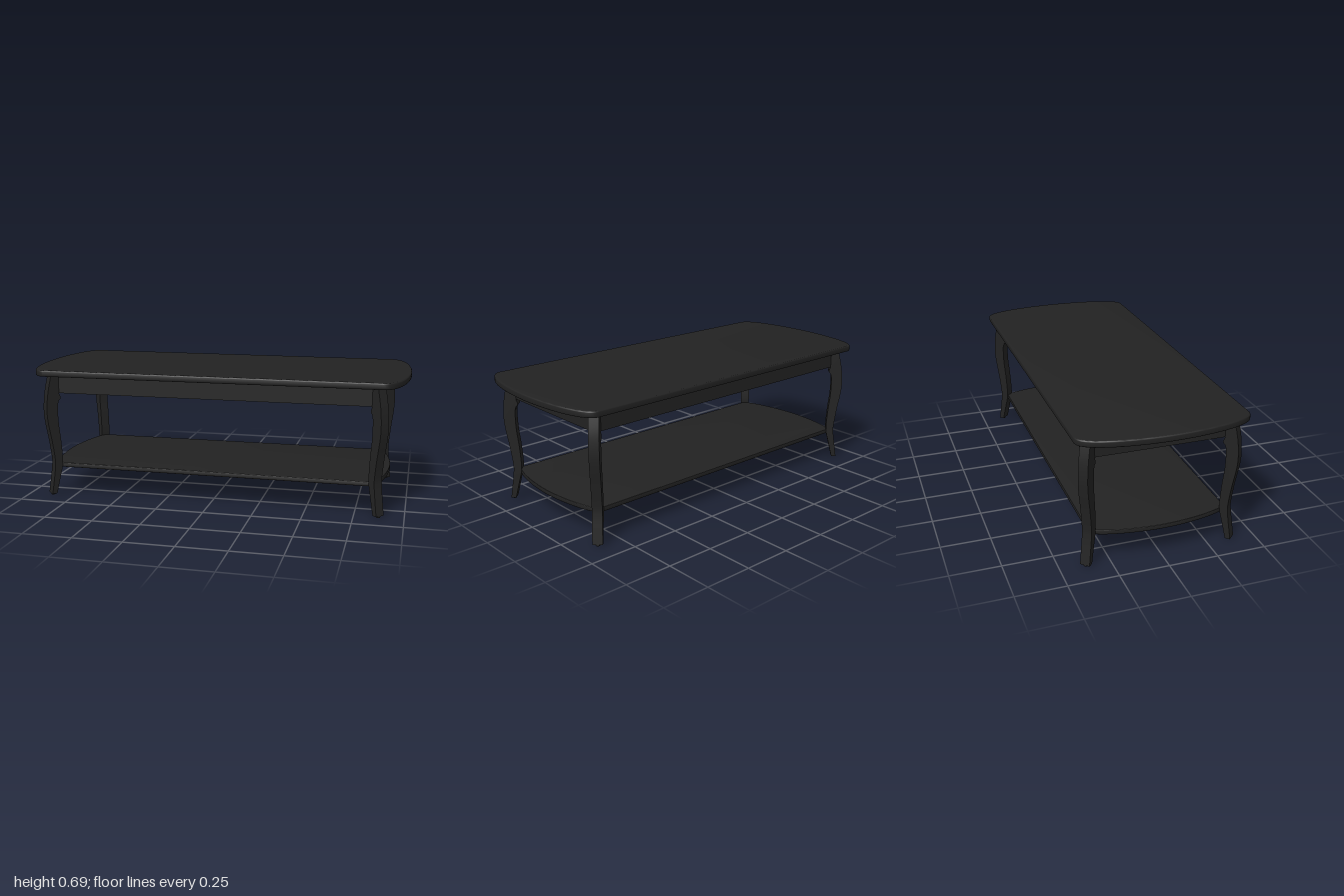
import * as THREE from 'three';
import { toCreasedNormals } from 'three/addons/utils/BufferGeometryUtils.js';

// Horizontal board from an outline in x/z, with softened edges, between two heights
function board(shape, y0, y1, bevel) {
  const g = new THREE.ExtrudeGeometry(shape, {
    depth: y1 - y0 - 2 * bevel, bevelEnabled: true, bevelThickness: bevel,
    bevelSize: bevel, bevelOffset: -bevel, bevelSegments: 3, curveSegments: 24,
  });
  g.rotateX(Math.PI / 2);
  g.translate(0, y1 - bevel, 0);
  return toCreasedNormals(g, 0.6);
}

// Top outline: straight long sides, soft corners and bowed ends
function topOutline() {
  const s = new THREE.Shape();
  s.moveTo(-0.88, -0.427);
  s.lineTo(0.88, -0.427);
  s.bezierCurveTo(0.97, -0.427, 1, -0.15, 1, 0);
  s.bezierCurveTo(1, 0.15, 0.97, 0.427, 0.88, 0.427);
  s.lineTo(-0.88, 0.427);
  s.bezierCurveTo(-0.97, 0.427, -1, 0.15, -1, 0);
  s.bezierCurveTo(-1, -0.15, -0.97, -0.427, -0.88, -0.427);
  return s;
}

// Shelf outline: straight long sides with shallow bowed ends between the legs
function shelfOutline() {
  const s = new THREE.Shape();
  s.moveTo(-0.835, -0.348);
  s.lineTo(0.835, -0.348);
  s.bezierCurveTo(0.875, -0.31, 0.907, -0.13, 0.907, 0);
  s.bezierCurveTo(0.907, 0.13, 0.875, 0.31, 0.835, 0.348);
  s.lineTo(-0.835, 0.348);
  s.bezierCurveTo(-0.875, 0.31, -0.907, 0.13, -0.907, 0);
  s.bezierCurveTo(-0.907, -0.13, -0.875, -0.31, -0.835, -0.348);
  return s;
}

// Curved leg: side profile cut along the diagonal and given a constant thickness
const LEG_THICKNESS = 0.05;
function legGeometry() {
  const half = LEG_THICKNESS / 2;
  const outer = [[0.399, 0.008], [0.391, 0.08], [0.384, 0.15], [0.383, 0.2], [0.392, 0.3],
    [0.404, 0.4], [0.407, 0.47], [0.401, 0.56], [0.386, 0.655]];
  const inner = [[0.322, 0.52], [0.328, 0.49], [0.328, 0.4], [0.321, 0.3], [0.317, 0.2],
    [0.32, 0.15], [0.329, 0.1], [0.345, 0.008]];
  const toOuter = ([z, y]) => new THREE.Vector2(z * Math.SQRT2 - half, y);
  const toInner = ([z, y]) => new THREE.Vector2(z * Math.SQRT2 + half, y);
  const s = new THREE.Shape();
  const o = outer.map(toOuter), i = inner.map(toInner);
  s.moveTo(o[0].x, o[0].y);
  s.splineThru(o.slice(1));
  // block that meets the apron, with a small step below it
  for (const p of [[0.322, 0.655], [0.322, 0.555], [0.316, 0.535], [0.317, 0.525]].map(toInner)) s.lineTo(p.x, p.y);
  s.lineTo(i[0].x, i[0].y);
  s.splineThru(i.slice(1));
  s.closePath();
  const g = new THREE.ExtrudeGeometry(s, { depth: LEG_THICKNESS, bevelEnabled: false, curveSegments: 4 });
  g.translate(0, 0, -half);
  return toCreasedNormals(g, 0.5);
}

export function createModel() {
  const group = new THREE.Group();
  group.name = 'coffeeTable';
  const black = new THREE.MeshStandardMaterial({ color: 0x222222 });
  black.name = 'black stain';

  const add = (parent, name, geometry, x = 0, y = 0, z = 0) => {
    const m = new THREE.Mesh(geometry, black);
    m.name = name;
    m.position.set(x, y, z);
    parent.add(m);
    return m;
  };

  add(group, 'tableTop', board(topOutline(), 0.653, 0.686, 0.007), 0, 0, 0);
  add(group, 'shelf', board(shelfOutline(), 0.15, 0.173, 0.002), 0, 0, 0);

  // Aprons under the top
  const longApron = new THREE.BoxGeometry(1.69, 0.098, 0.022);
  const shortApron = new THREE.BoxGeometry(0.022, 0.098, 0.69);
  for (const side of [1, -1]) {
    add(group, side > 0 ? 'frontApron' : 'backApron', longApron, 0, 0.606, side * 0.345);
    add(group, side > 0 ? 'leftApron' : 'rightApron', shortApron, side * 0.845, 0.606, 0);
  }

  // Four legs splayed along the diagonals, each with a small foot pad
  const leg = legGeometry();
  const pad = new THREE.CylinderGeometry(0.011, 0.011, 0.01, 16);
  for (const sx of [1, -1]) for (const sz of [1, -1]) {
    const g = new THREE.Group();
    g.name = (sz > 0 ? 'front' : 'back') + (sx > 0 ? 'Left' : 'Right') + 'Leg';
    g.position.x = sx * 0.5;
    g.rotation.y = Math.atan2(-sz, sx);
    add(g, 'leg', leg);
    add(g, 'footPad', pad, 0.372 * Math.SQRT2, 0.005, 0);
    group.add(g);
  }
  return group;
}
